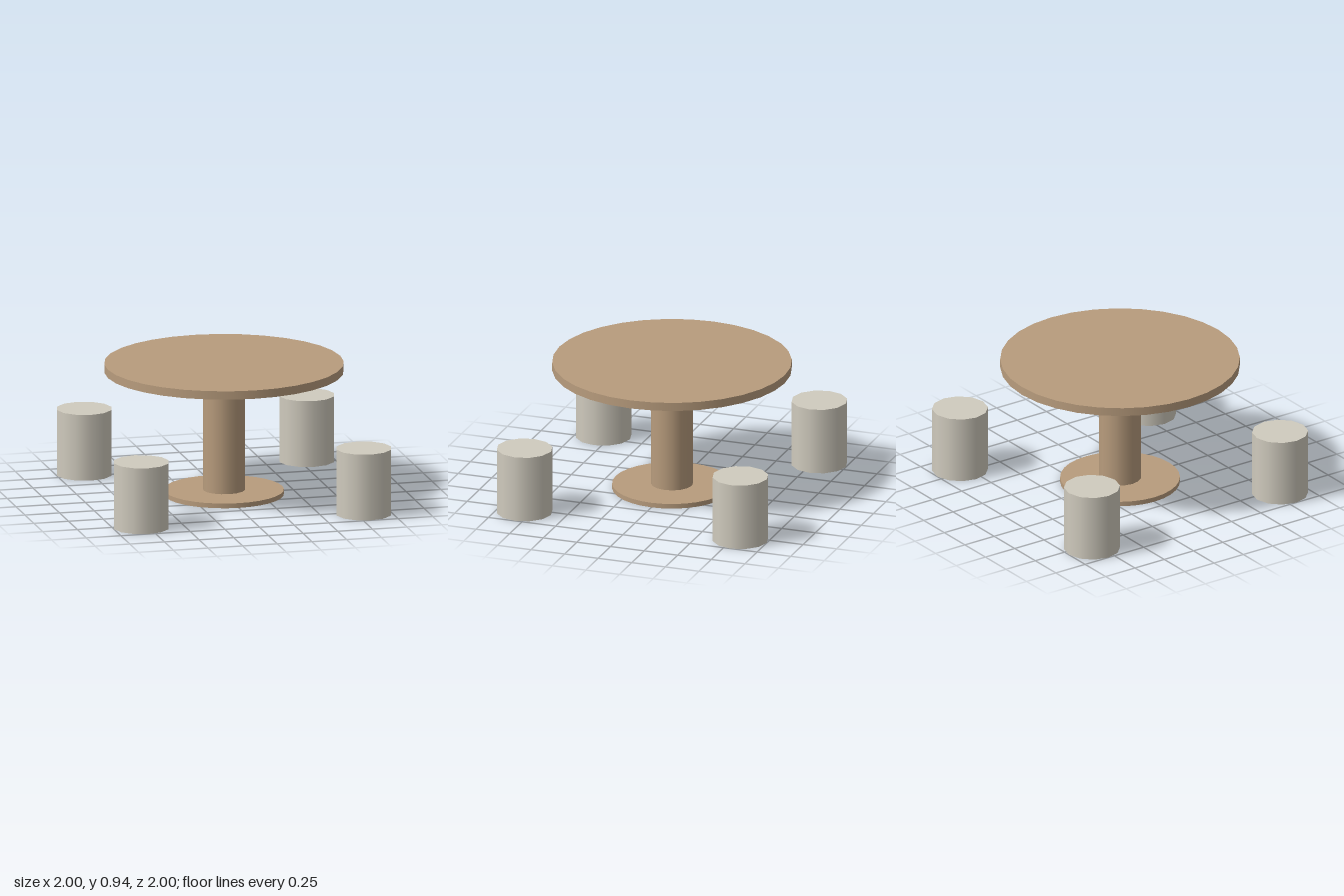
import * as THREE from 'three';

const wood = new THREE.MeshStandardMaterial({ color: 0xb89c7d });
const stone = new THREE.MeshStandardMaterial({ color: 0xd0cbbe });

// Upright cylinder standing between two heights
function disc(name, radius, bottom, top, sides, material) {
  const geometry = new THREE.CylinderGeometry(radius, radius, top - bottom, sides);
  const mesh = new THREE.Mesh(geometry, material);
  mesh.name = name;
  mesh.position.y = (bottom + top) / 2;
  return mesh;
}

export function createModel() {
  const model = new THREE.Group();
  model.name = 'tableWithStools';

  // Round pedestal table
  const table = new THREE.Group();
  table.name = 'table';
  table.add(
    disc('base', 0.419, 0, 0.034, 32, wood),
    disc('column', 0.148, 0.034, 0.885, 16, wood),
    disc('tableTop', 0.838, 0.885, 0.945, 32, wood)
  );
  model.add(table);

  // Four drum stools at the corners
  for (const [side, x] of [['Left', 1], ['Right', -1]]) {
    for (const [end, z] of [['front', 1], ['back', -1]]) {
      const stool = disc(`${end}${side}Stool`, 0.197, 0, 0.473, 12, stone);
      stool.position.x = x * 0.803;
      stool.position.z = z * 0.803;
      model.add(stool);
    }
  }
  return model;
}
